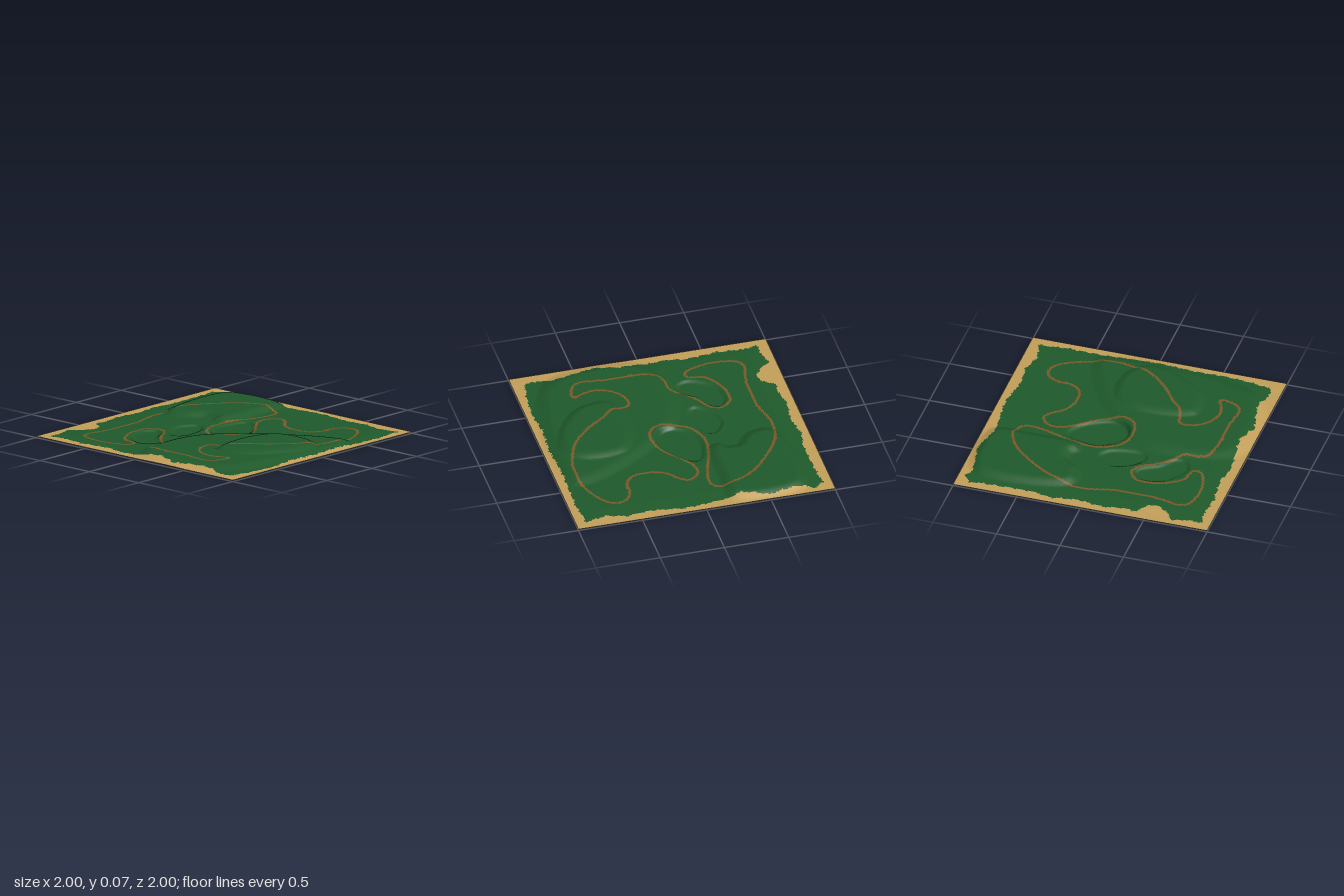
import * as THREE from 'three';

const CELLS = 200;
const BASE = 0.011;

// Closed outlines on the ground, as [x, z] points
const TRACK = [
  [-0.25, -0.76], [-0.13, -0.73], [-0.11, -0.66], [-0.14, -0.5], [-0.19, -0.35], [-0.22, -0.13],
  [-0.14, 0.04], [0, 0.1], [0.13, 0.07], [0.18, -0.03], [0.13, -0.19], [0.02, -0.33],
  [-0.05, -0.44], [-0.05, -0.55], [0.03, -0.61], [0.1, -0.57], [0.18, -0.48], [0.3, -0.44],
  [0.44, -0.46], [0.5, -0.55], [0.51, -0.67], [0.58, -0.75], [0.68, -0.74], [0.78, -0.6],
  [0.84, -0.4], [0.83, -0.2], [0.75, 0], [0.62, 0.15], [0.45, 0.28], [0.36, 0.36],
  [0.23, 0.4], [0.23, 0.5], [0.3, 0.6], [0.42, 0.65], [0.53, 0.63], [0.6, 0.6],
  [0.6, 0.68], [0.54, 0.77], [0.3, 0.76], [0.05, 0.76], [-0.1, 0.71], [-0.13, 0.54],
  [-0.2, 0.48], [-0.3, 0.37], [-0.36, 0.27], [-0.44, 0.23], [-0.53, 0.29], [-0.54, 0.42],
  [-0.48, 0.57], [-0.42, 0.64], [-0.3, 0.67], [-0.3, 0.73], [-0.4, 0.78], [-0.57, 0.8],
  [-0.72, 0.76], [-0.75, 0.69], [-0.72, 0.55], [-0.71, 0.2], [-0.76, -0.05], [-0.72, -0.3],
  [-0.6, -0.5], [-0.42, -0.69],
];
const HILLS = [
  { height: 0.04, ramp: 0.12, edge: [[-0.82, -0.93], [-0.2, -0.95], [-0.16, -0.6], [-0.19, -0.22],
    [-0.32, -0.18], [-0.4, -0.25], [-0.5, -0.13], [-0.7, -0.08], [-0.82, -0.2]] },
  { height: 0.032, ramp: 0.15, edge: [[-0.18, 0.25], [0.25, -0.25], [0.9, -0.5], [0.95, 0.5],
    [0.75, 0.93], [-0.05, 0.95]] },
  { height: 0.057, ramp: 0.17, edge: [[0.19, 0.05], [0.35, -0.25], [0.75, -0.28], [0.95, -0.1],
    [0.93, 0.2], [0.65, 0.55], [0.3, 0.56]] },
];
const PONDS = [
  [[-0.12, -0.38], [-0.03, -0.36], [0.08, -0.24], [0.14, -0.08], [0.09, 0.04], [-0.01, 0.07],
    [-0.12, 0.01], [-0.19, -0.13], [-0.17, -0.28]],
  [[-0.32, -0.07], [-0.24, -0.03], [-0.19, 0.1], [-0.19, 0.25], [-0.25, 0.29], [-0.36, 0.2], [-0.41, 0.06]],
  [[-0.44, 0.25], [-0.37, 0.29], [-0.3, 0.41], [-0.19, 0.5], [-0.19, 0.58], [-0.27, 0.63],
    [-0.4, 0.58], [-0.49, 0.48], [-0.51, 0.33]],
];
// Ragged border of the grass, one line per side: [position along side, limit]
const BORDER = {
  left: [[-0.9, -0.94], [-0.82, -0.92], [-0.42, -0.91], [-0.25, -0.94], [-0.05, -0.91], [0.16, -0.94],
    [0.3, -0.91], [0.42, -0.92], [0.48, -0.82], [0.57, -0.81], [0.65, -0.88], [0.71, -0.95], [0.8, -0.92], [0.95, -0.91]],
  right: [[-0.9, 0.92], [-0.7, 0.94], [-0.3, 0.93], [0, 0.95], [0.3, 0.93], [0.5, 0.95], [0.75, 0.93], [0.83, 0.91], [0.95, 0.9]],
  back: [[-0.95, -0.88], [-0.86, -0.95], [-0.78, -0.91], [-0.5, -0.96], [-0.3, -0.9], [-0.12, -0.92],
    [0.15, -0.95], [0.4, -0.91], [0.6, -0.93], [0.75, -0.89], [0.95, -0.93]],
  front: [[-0.95, 0.94], [-0.8, 0.91], [-0.6, 0.93], [-0.35, 0.9], [-0.2, 0.93], [0, 0.91],
    [0.17, 0.89], [0.35, 0.95], [0.55, 0.9], [0.68, 0.88], [0.8, 0.92], [0.95, 0.9]],
};

// Smooth closed loop through the given points
function loop(points, count) {
  const curve = new THREE.CatmullRomCurve3(points.map(([x, z]) => new THREE.Vector3(x, 0, z)), true);
  return curve.getSpacedPoints(count).map((p) => [p.x, p.z]);
}

// Distance to a closed outline, positive inside it
function depthInside(outline, x, z) {
  let best = Infinity;
  let inside = false;
  for (let i = 0, j = outline.length - 1; i < outline.length; j = i++) {
    const [ax, az] = outline[j];
    const [bx, bz] = outline[i];
    const dx = bx - ax, dz = bz - az;
    const t = THREE.MathUtils.clamp(((x - ax) * dx + (z - az) * dz) / (dx * dx + dz * dz || 1), 0, 1);
    best = Math.min(best, Math.hypot(x - ax - t * dx, z - az - t * dz));
    if ((az > z) !== (bz > z) && x < ax + ((z - az) * dx) / dz) inside = !inside;
  }
  return inside ? best : -best;
}

// Border limit with a little ripple
function limit(side, t) {
  const line = BORDER[side];
  const i = Math.max(1, line.findIndex(([p]) => p >= t));
  const [a, b] = t > line[line.length - 1][0] ? line.slice(-2) : [line[i - 1], line[i]];
  const k = THREE.MathUtils.clamp((t - a[0]) / (b[0] - a[0]), 0, 1);
  return a[1] + (b[1] - a[1]) * k + 0.005 * Math.sin(t * 61) + 0.003 * Math.sin(t * 143);
}

const isGrass = (x, z) => x > limit('left', z) && x < limit('right', z)
  && z > limit('back', x) && z < limit('front', x);

export function createModel() {
  const model = new THREE.Group();
  model.name = 'terrain';
  const { smoothstep, lerp } = THREE.MathUtils;
  const track = loop(TRACK, 300).slice(0, -1);
  const ponds = PONDS.map((p) => loop(p, 40).slice(0, -1));
  const hills = HILLS.map((h) => ({ ...h, edge: loop(h.edge, 60).slice(0, -1) }));

  // Ground sheet raised into hills and sunk into pond beds
  const ground = new THREE.PlaneGeometry(2, 2, CELLS, CELLS).rotateX(-Math.PI / 2);
  const pos = ground.attributes.position;
  for (let i = 0; i < pos.count; i++) {
    const x = pos.getX(i), z = pos.getZ(i);
    let y = BASE + 0.005 * smoothstep(1 - Math.max(Math.abs(x), Math.abs(z)), 0.04, 0.2);
    for (const { edge, height, ramp } of hills) {
      y = Math.max(y, BASE + height * smoothstep(depthInside(edge, x, z), 0, ramp));
    }
    for (const pond of ponds) y = lerp(y, 0, smoothstep(depthInside(pond, x, z), -0.015, 0.02));
    pos.setY(i, y);
  }
  ground.computeVertexNormals();

  // Sort the cells into sand, grass and track
  const parts = {
    sandBorder: { color: 0xc4a05a, index: [] },
    grass: { color: 0x1f5a2b, index: [] },
    dirtTrack: { color: 0x7a5a28, index: [] },
  };
  const cellSize = 2 / CELLS;
  for (let row = 0; row < CELLS; row++) {
    for (let col = 0; col < CELLS; col++) {
      const x = -1 + (col + 0.5) * cellSize;
      const z = -1 + (row + 0.5) * cellSize;
      let name = 'sandBorder';
      if (isGrass(x, z)) name = Math.abs(depthInside(track, x, z)) < 0.0105 ? 'dirtTrack' : 'grass';
      const a = row * (CELLS + 1) + col;
      const b = a + CELLS + 1;
      parts[name].index.push(a, b, a + 1, b, b + 1, a + 1);
    }
  }

  // One mesh per surface, sharing the smooth normals of the whole sheet
  for (const [name, { color, index }] of Object.entries(parts)) {
    const sheet = ground.clone();
    sheet.setIndex(index);
    const material = new THREE.MeshStandardMaterial({ color, side: THREE.DoubleSide });
    const mesh = new THREE.Mesh(sheet.toNonIndexed(), material);
    mesh.name = name;
    model.add(mesh);
  }
  return model;
}
